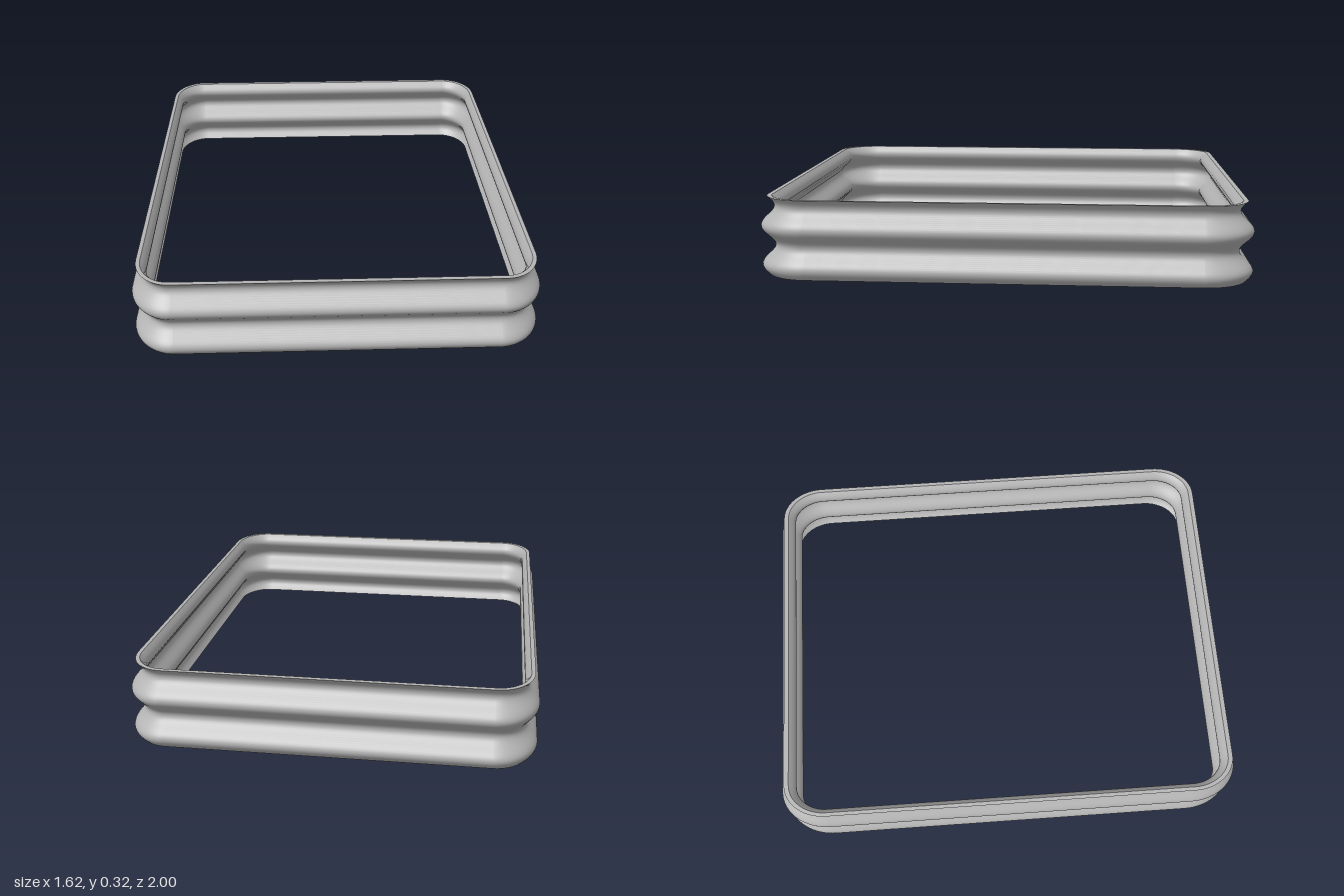
import * as THREE from 'three';

const HEIGHT = 0.325;      // total height of the band
const CORNER = 0.64;       // corner arc centre, before stretching
const WALL = 0.016;        // wall thickness
const STRETCH = 2 / 1.616; // depth to width ratio
const ARC_STEPS = 16;
const WAVE_STEPS = 48;

// Half width of the outer face: two full waves over the height
const outerAt = (y) => 0.785 + 0.023 * Math.sin((4 * Math.PI * y) / HEIGHT);

// One rounded rectangle loop of points
function ring(halfWidth, y) {
  const points = [];
  const r = halfWidth - CORNER;
  for (let k = 0; k < 4; k++) {
    const sx = k === 0 || k === 3 ? 1 : -1;
    const sz = k < 2 ? 1 : -1;
    for (let s = 0; s <= ARC_STEPS; s++) {
      const a = (k + s / ARC_STEPS) * Math.PI / 2;
      points.push(sx * CORNER + r * Math.cos(a), y, (sz * CORNER + r * Math.sin(a)) * STRETCH);
    }
  }
  return points;
}

// Skin through a list of [halfWidth, y] loops
function skin(rows) {
  const n = 4 * (ARC_STEPS + 1);
  const index = [];
  for (let j = 0; j < rows.length - 1; j++) {
    for (let i = 0; i < n; i++) {
      const a = j * n + i;
      const b = j * n + ((i + 1) % n);
      index.push(a, a + n, b + n, a, b + n, b);
    }
  }
  const geometry = new THREE.BufferGeometry();
  const positions = rows.flatMap(([w, y]) => ring(w, y));
  geometry.setAttribute('position', new THREE.Float32BufferAttribute(positions, 3));
  geometry.setIndex(index);
  geometry.computeVertexNormals();
  return geometry;
}

export function createModel() {
  const group = new THREE.Group();
  group.name = 'corrugatedFrame';
  const grey = new THREE.MeshStandardMaterial({ color: 0xb4b4b4 });
  grey.name = 'grey';

  const outer = [];
  for (let j = 0; j <= WAVE_STEPS; j++) {
    const y = (HEIGHT * j) / WAVE_STEPS;
    outer.push([outerAt(y), y]);
  }
  const inner = outer.map(([w, y]) => [w - WALL, y]).reverse();

  // Walls and rims are separate, so the rim edges stay sharp
  const parts = {
    outerWall: outer,
    topRim: [outer[WAVE_STEPS], inner[0]],
    innerWall: inner,
    bottomRim: [inner[WAVE_STEPS], outer[0]],
  };
  for (const [name, rows] of Object.entries(parts)) {
    const mesh = new THREE.Mesh(skin(rows), grey);
    mesh.name = name;
    group.add(mesh);
  }
  return group;
}
